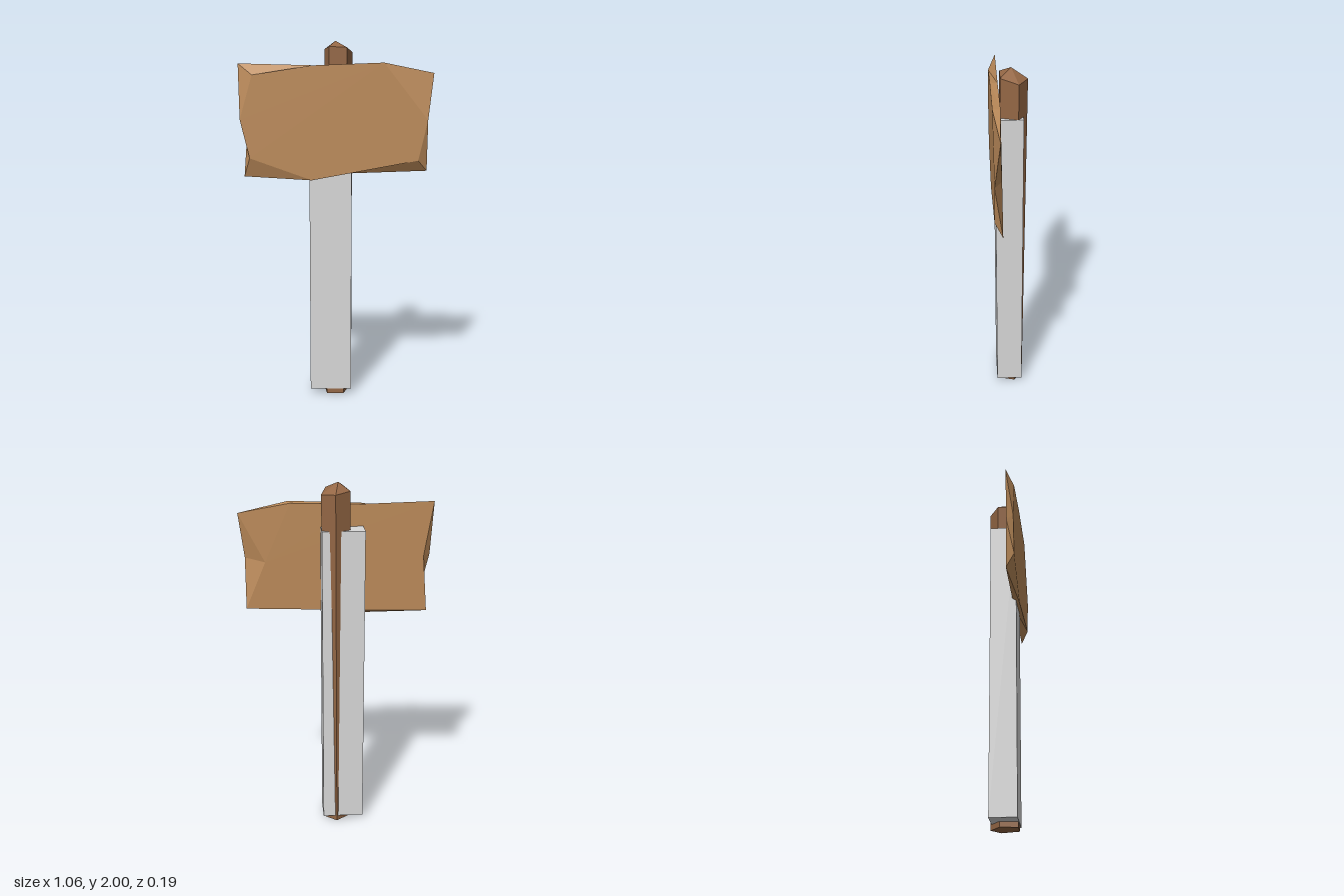
import * as THREE from 'three';

const mat = (name, color) => {
  const m = new THREE.MeshStandardMaterial({ color });
  m.name = name;
  return m;
};

// Faceted solid between two matching loops, each closed by a fan around a hub point.
// Loops run clockwise as seen from outside the front loop.
function facetedSolid(front, back, frontHub, backHub) {
  const pos = [];
  const tri = (a, b, c) => {
    const [p, q, r] = [a, b, c].map((v) => v.join());
    if (p !== q && q !== r && r !== p) pos.push(...a, ...b, ...c);
  };
  front.forEach((f, i) => {
    const j = (i + 1) % front.length;
    tri(frontHub, front[j], f);
    tri(backHub, back[i], back[j]);
    tri(f, front[j], back[j]);
    tri(f, back[j], back[i]);
  });
  const g = new THREE.BufferGeometry();
  g.setAttribute('position', new THREE.Float32BufferAttribute(pos, 3));
  g.computeVertexNormals();
  return g;
}

export function createModel() {
  const group = new THREE.Group();
  const add = (name, geometry, material) => {
    const mesh = new THREE.Mesh(geometry, material);
    mesh.name = name;
    group.add(mesh);
    return mesh;
  };
  const boardWood = mat('light wood', 0xbc8b5a);
  const postWood = mat('dark wood', 0x946745);
  const grey = mat('pale grey', 0xd8d8d8);

  // Five-sided post, leaning slightly back, with a pointed top
  const postTop = [
    [0.017, 1.945, -0.097], [0.09, 1.94, -0.048], [0.06, 1.965, 0.046],
    [-0.037, 1.97, 0.046], [-0.065, 1.955, -0.04],
  ];
  const postBottom = [
    [0.01, 0, -0.08], [0.072, 0, -0.03], [0.045, 0, 0.07],
    [-0.05, 0, 0.07], [-0.065, 0, -0.025],
  ];
  add('post', facetedSolid(postTop, postBottom, [-0.003, 2, -0.012], [0, 0, 0]), postWood);

  // Plain block around the post
  const block = add('postBlock', new THREE.BoxGeometry(0.232, 1.72, 0.148), grey);
  block.position.set(-0.028, 0.89, 0);

  // Rough-hewn board with chipped edges
  const corner = [0.53, 1.83, 0.063];
  const at = (z) => ([x, y, own]) => [x, y, own ?? z];
  const boardFront = [
    [-0.45, 1.82], [-0.13, 1.87], [0.26, 1.885], corner, [0.5, 1.58],
    [0.45, 1.36], [-0.13, 1.25], [-0.47, 1.37], [-0.52, 1.58],
  ].map(at(0.093));
  const boardBack = [
    [-0.53, 1.88], [-0.12, 1.87], [0.25, 1.88], corner, [0.39, 1.56],
    [0.5, 1.3], [-0.02, 1.28], [-0.505, 1.265], [-0.48, 1.58],
  ].map(at(0.052));
  add('signBoard', facetedSolid(boardFront, boardBack, boardFront[2], boardBack[4]), boardWood);

  return group;
}
